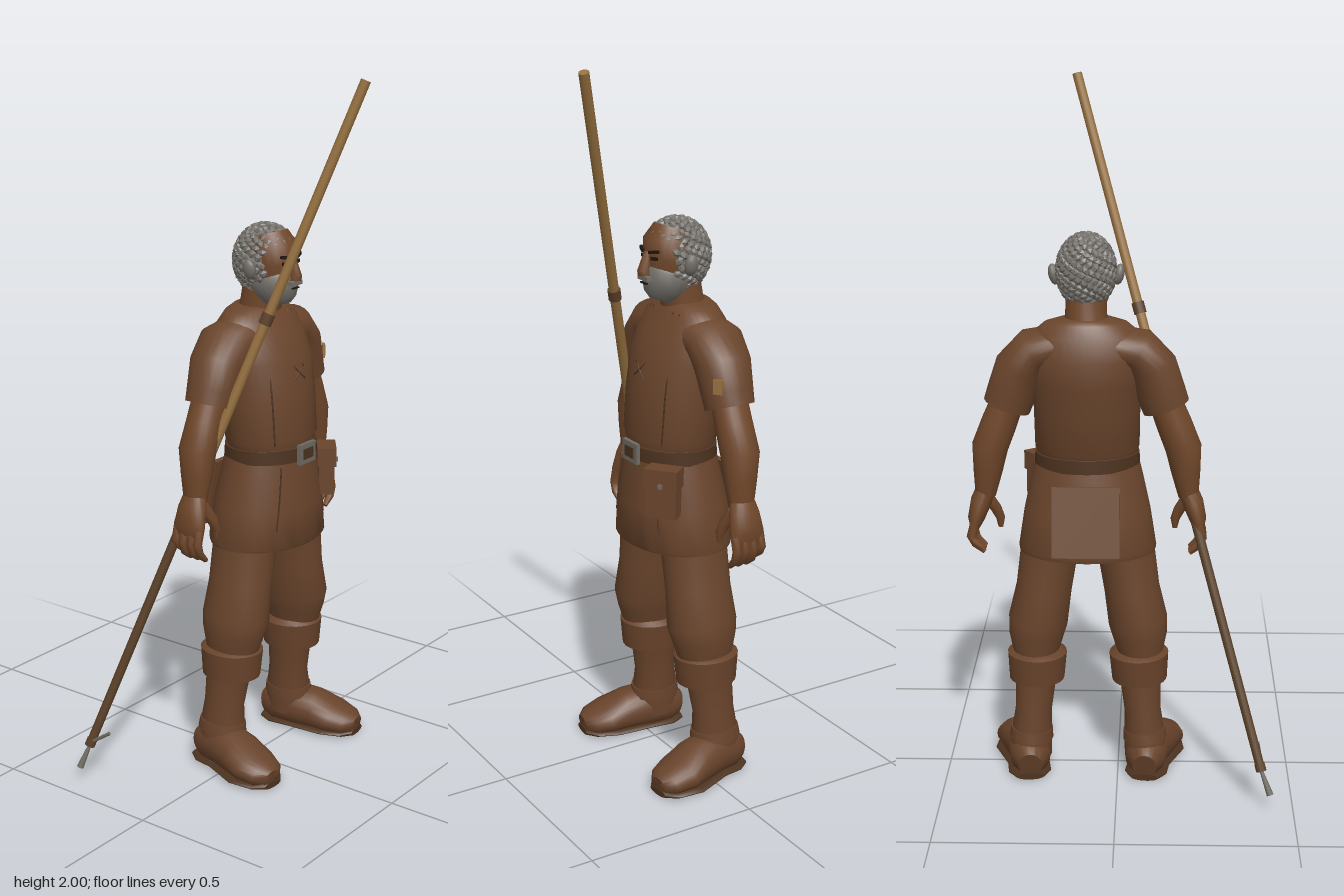
import * as THREE from 'three';
import { mergeGeometries, toCreasedNormals } from 'three/addons/utils/BufferGeometryUtils.js';

const mat = (name, color) => Object.assign(new THREE.MeshStandardMaterial({ color }), { name });
const V = (x, y, z) => new THREE.Vector3(x, y, z);

// Skin of elliptical rings [x, y, z, radiusU, radiusV] set square to their path
function loft(rings, { s = 1, seg = 24, crease = 0.9, floor = -1 } = {}) {
  const c = rings.map(r => V(r[0] * s, r[1], r[2]));
  const pos = [], idx = [], n = rings.length;
  c.forEach((p, i) => {
    const t = c[Math.min(i + 1, n - 1)].clone().sub(c[Math.max(i - 1, 0)]).normalize();
    const ref = Math.abs(t.z) > 0.9 ? V(1, 0, 0) : V(0, 0, 1);
    const u = ref.cross(t).normalize(), v = t.clone().cross(u);
    for (let j = 0; j < seg; j++) {
      const a = j / seg * Math.PI * 2;
      const q = p.clone().addScaledVector(u, Math.cos(a) * rings[i][3]).addScaledVector(v, Math.sin(a) * rings[i][4]);
      pos.push(q.x, Math.max(q.y, floor), q.z);
    }
  });
  pos.push(...c[0].toArray(), ...c[n - 1].toArray());
  for (let j = 0; j < seg; j++) {
    const k = (j + 1) % seg, e = (n - 1) * seg;
    for (let i = 0; i < n - 1; i++) {
      const a = i * seg + j, b = i * seg + k;
      idx.push(a, b, a + seg, b, b + seg, a + seg);
    }
    idx.push(n * seg, k, j, n * seg + 1, e + j, e + k);
  }
  const g = new THREE.BufferGeometry();
  g.setAttribute('position', new THREE.Float32BufferAttribute(pos, 3));
  g.setIndex(idx);
  return toCreasedNormals(g, crease);
}

// Front surface depth of an upright loft at (x, y)
function frontZ(rings, x, y) {
  const i = Math.max(1, rings.findIndex(r => r[1] >= y));
  const a = rings[i - 1], b = rings[i], t = (y - a[1]) / (b[1] - a[1]);
  const [cz, rx, rz] = [2, 3, 4].map(k => a[k] + (b[k] - a[k]) * t);
  return cz + rz * Math.sqrt(Math.max(0, 1 - (x / rx) ** 2));
}

export function createModel() {
  const cloth = mat('brown cloth', 0x6a452c), skin = mat('skin', 0x70472a), dark = mat('dark leather', 0x4c321f);
  const leather = mat('boot leather', 0x68432b), hair = mat('grey hair', 0x75716b), metal = mat('dull metal', 0x6f6b62);
  const wood = mat('light wood', 0x96703f), oldWood = mat('dark wood', 0x5c4229), ink = mat('eye black', 0x1e1713);

  const model = new THREE.Group(), man = new THREE.Group();
  man.name = 'man';
  man.position.x = 0.087;
  model.add(man);
  const add = (name, geo, m, parent = man) => {
    const mesh = new THREE.Mesh(geo, m);
    mesh.name = name;
    parent.add(mesh);
    return mesh;
  };
  const box = (name, m, size, at, rot = [0, 0, 0]) => {
    const b = add(name, new THREE.BoxGeometry(...size), m);
    b.position.set(...at);
    b.rotation.set(...rot);
    return b;
  };
  // Stitched line lying on the front of a loft
  const seam = (name, rings, pts, r = 0.0025) => add(name, new THREE.TubeGeometry(
    new THREE.CatmullRomCurve3(pts.map(([x, y]) => V(x, y, frontZ(rings, x, y)))), 16, r, 5), dark);

  // Vest and tunic skirt
  const torso = [
    [0, 0.965, 0.005, 0.14, 0.113], [0, 0.985, 0.005, 0.148, 0.12], [0, 1.1, -0.005, 0.15, 0.12],
    [0, 1.2, -0.025, 0.163, 0.125], [0, 1.27, -0.042, 0.168, 0.108], [0, 1.32, -0.046, 0.15, 0.088],
    [0, 1.35, -0.046, 0.115, 0.072], [0, 1.362, -0.046, 0.07, 0.062]];
  const skirt = [
    [0, 0.68, -0.007, 0.195, 0.146], [0, 0.69, -0.007, 0.197, 0.15], [0, 0.8, -0.003, 0.18, 0.142],
    [0, 0.9, 0.003, 0.158, 0.125], [0, 0.975, 0.005, 0.14, 0.114]];
  add('vest', loft(torso, { seg: 36 }), cloth);
  add('tunicSkirt', loft(skirt, { seg: 36 }), cloth);
  add('belt', loft([[0, 0.93, 0.005, 0.15, 0.123], [0, 0.968, 0.005, 0.148, 0.122]], { seg: 36 }), dark);
  box('backPanel', cloth, [0.19, 0.2, 0.014], [0, 0.8, -0.146], [0.2, 0, 0]);
  for (const s of [-1, 1]) {
    seam('vestSeam', torso, [[0.1 * s, 0.985], [0.1 * s, 1.15], [0.095 * s, 1.25], [0.07 * s, 1.34]]);
    seam('neckSeam', torso, [[0, 1.2], [0.02 * s, 1.26], [0.05 * s, 1.34]]);
    seam('skirtSeam', skirt, [[0.085 * s, 0.92], [0.1 * s, 0.83], [0.115 * s, 0.74]]);
    for (const y of [1.18, 1.215]) seam('lace', torso, [[-0.025 * s, y - 0.02], [0, y], [0.025 * s, y + 0.025]], 0.003);
  }

  // Buckle and pouch
  box('buckle', metal, [0.075, 0.058, 0.012], [0.0, 0.95, 0.13]);
  box('buckleCentre', dark, [0.045, 0.03, 0.006], [0, 0.95, 0.136]);
  box('pouch', cloth, [0.085, 0.115, 0.045], [0.133, 0.855, 0.107], [0, 0.65, 0]);
  box('pouchFlap', cloth, [0.095, 0.055, 0.055], [0.133, 0.91, 0.107], [0, 0.65, 0]);
  box('pouchStud', metal, [0.012, 0.012, 0.008], [0.152, 0.892, 0.131], [0, 0.65, 0]);
  box('sleeveBadge', wood, [0.026, 0.04, 0.008], [0.25, 1.18, 0.012], [0, 0.7, 0]);

  for (const s of [-1, 1]) {
    // Sleeves and arms
    add('sleeve', loft([[0.08, 1.285, -0.045, 0.055, 0.08], [0.145, 1.27, -0.045, 0.064, 0.085],
      [0.185, 1.22, -0.045, 0.07, 0.08], [0.208, 1.15, -0.045, 0.069, 0.072],
      [0.222, 1.11, -0.045, 0.067, 0.068]], { s }), cloth);
    add('arm', loft([[0.21, 1.15, -0.045, 0.045, 0.05], [0.245, 1.06, -0.045, 0.05, 0.052],
      [0.272, 0.99, -0.047, 0.051, 0.054], [0.279, 0.92, -0.045, 0.041, 0.046],
      [0.287, 0.85, -0.044, 0.029, 0.035]], { s }), skin);
    add('palm', loft([[0.285, 0.87, -0.044, 0.027, 0.034], [0.3, 0.83, -0.044, 0.03, 0.045],
      [0.315, 0.78, -0.044, 0.024, 0.052], [0.318, 0.755, -0.044, 0.014, 0.048]], { s }), skin);
    for (let i = 0; i < 4; i++) {
      const z = -0.083 + i * 0.026, d = i === 0 ? 0.015 : 0;
      add('finger', loft([[0.316, 0.775, z, 0.013, 0.013], [0.327, 0.735, z, 0.013, 0.013],
        [0.318, 0.705 + d, z, 0.012, 0.012], [0.292, 0.682 + d, z, 0.007, 0.008]], { s, seg: 10 }), skin);
    }
    add('thumb', loft([[0.285, 0.835, -0.02, 0.018, 0.018], [0.262, 0.795, -0.005, 0.016, 0.015],
      [0.25, 0.765, 0, 0.013, 0.013], [0.25, 0.738, 0, 0.007, 0.007]], { s, seg: 10 }), skin);

    // Trousers and boots
    add('trouserLeg', loft([[0.085, 0.82, -0.005, 0.085, 0.1], [0.108, 0.69, -0.006, 0.083, 0.096],
      [0.127, 0.56, -0.01, 0.08, 0.096], [0.145, 0.46, -0.012, 0.086, 0.103],
      [0.15, 0.42, -0.016, 0.08, 0.095], [0.153, 0.34, -0.022, 0.06, 0.075]], { s }), cloth);
    add('bootCuff', loft([[0.15, 0.28, -0.025, 0.066, 0.07], [0.15, 0.285, -0.025, 0.08, 0.087],
      [0.148, 0.365, -0.024, 0.086, 0.094], [0.148, 0.375, -0.024, 0.07, 0.078]], { s, crease: 0.6 }), leather);
    add('bootShaft', loft([[0.168, 0.05, -0.048, 0.06, 0.07], [0.166, 0.11, -0.046, 0.06, 0.07],
      [0.16, 0.19, -0.043, 0.053, 0.061], [0.152, 0.3, -0.032, 0.06, 0.068]], { s }), leather);
    add('ankleStrap', loft([[0.167, 0.105, -0.046, 0.064, 0.075], [0.165, 0.135, -0.045, 0.061, 0.071]], { s }), leather);
    add('bootFoot', loft([[0.166, 0.045, -0.125, 0.04, 0.035], [0.168, 0.055, -0.09, 0.06, 0.058],
      [0.175, 0.06, -0.03, 0.07, 0.062], [0.192, 0.055, 0.04, 0.063, 0.07], [0.207, 0.043, 0.1, 0.046, 0.076],
      [0.214, 0.034, 0.15, 0.036, 0.06], [0.217, 0.03, 0.174, 0.024, 0.032]], { s, floor: 0.014 }), leather);
    add('bootSole', loft([[0.166, 0.01, -0.127, 0.01, 0.04], [0.17, 0.01, -0.09, 0.012, 0.062],
      [0.178, 0.01, -0.03, 0.012, 0.062], [0.205, 0.01, 0.08, 0.012, 0.08],
      [0.214, 0.01, 0.15, 0.012, 0.062], [0.217, 0.01, 0.176, 0.01, 0.034]], { s, floor: 0 }), dark);
  }

  // Neck and head
  add('neck', loft([[0, 1.32, -0.04, 0.063, 0.062], [0, 1.37, -0.03, 0.058, 0.06], [0, 1.43, -0.02, 0.056, 0.06]]), skin);
  add('face', loft([[0, 1.375, 0.03, 0.03, 0.035], [0, 1.4, 0.02, 0.053, 0.058], [0, 1.44, 0.005, 0.066, 0.074],
    [0, 1.48, 0, 0.073, 0.08], [0, 1.53, -0.002, 0.074, 0.082], [0, 1.565, -0.01, 0.055, 0.06]]), skin);
  add('beard', loft([[0, 1.365, 0.035, 0.026, 0.034], [0, 1.38, 0.03, 0.045, 0.054], [0, 1.405, 0.022, 0.061, 0.065],
    [0, 1.437, 0.012, 0.069, 0.074], [0, 1.447, 0.008, 0.064, 0.07]]), hair);
  add('nose', loft([[0, 1.442, 0.085, 0.017, 0.02], [0, 1.452, 0.085, 0.016, 0.023],
    [0, 1.505, 0.075, 0.009, 0.012]], { seg: 10 }), skin);
  box('moustache', hair, [0.05, 0.012, 0.016], [0, 1.434, 0.086]);
  box('mouth', ink, [0.03, 0.004, 0.006], [0, 1.42, 0.088]);
  for (const s of [-1, 1]) {
    box('eye', ink, [0.02, 0.009, 0.008], [0.029 * s, 1.49, 0.073], [0, 0.35 * s, 0]);
    box('eyebrow', ink, [0.032, 0.008, 0.009], [0.03 * s, 1.508, 0.076], [0, 0.35 * s, 0.15 * s]);
    const ear = add('ear', new THREE.SphereGeometry(1, 12, 8), hair);
    ear.scale.set(0.015, 0.03, 0.02);
    ear.position.set(0.09 * s, 1.475, -0.005);
    ear.rotation.z = -0.2 * s;
  }

  // Hair: a cap drawn back from the face, covered with flat curls
  const centre = V(0, 1.487, -0.013), radii = V(0.078, 0.1, 0.094);
  const onFace = p => p.z > 0.028 && p.y < 1.535;
  const cap = new THREE.SphereGeometry(1, 32, 24), cp = cap.attributes.position;
  for (let i = 0; i < cp.count; i++) {
    const p = V().fromBufferAttribute(cp, i).multiply(radii).add(centre);
    if (onFace(p)) p.z = 0.02;
    cp.setXYZ(i, p.x, Math.max(p.y, 1.4), p.z);
  }
  cap.computeVertexNormals();
  add('hairCap', cap, hair);
  const curls = [], dummy = new THREE.Object3D(), count = 300;
  for (let i = 0; i < count; i++) {
    const y = 1 - 2 * (i + 0.5) / count, r = Math.sqrt(1 - y * y), a = i * 2.39996;
    const d = V(r * Math.cos(a), y, r * Math.sin(a)), p = d.clone().multiply(radii).add(centre);
    if (onFace(p) || p.y < 1.405 || (p.y < 1.44 && p.z > -0.01)) continue;
    dummy.position.copy(p);
    dummy.lookAt(p.clone().add(d));
    dummy.rotateZ(i * 1.7);
    dummy.scale.set(0.015, 0.011, 0.01);
    dummy.updateMatrix();
    curls.push(new THREE.IcosahedronGeometry(1, 0).applyMatrix4(dummy.matrix));
  }
  add('hairCurls', mergeGeometries(curls), hair);

  // Long pole crossing behind the right arm
  const top = V(0.122, 1.995, 0.285), foot = V(-0.41, 0.11, -0.275);
  const at = y => foot.clone().lerp(top, (y - foot.y) / (top.y - foot.y));
  const rod = (name, a, b, ra, rb, m) => {
    const mesh = add(name, new THREE.CylinderGeometry(rb, ra, a.distanceTo(b), 14), m, model);
    mesh.position.copy(a).lerp(b, 0.5);
    mesh.quaternion.setFromUnitVectors(V(0, 1, 0), b.clone().sub(a).normalize());
  };
  rod('poleLower', foot, at(0.95), 0.013, 0.014, oldWood);
  rod('poleUpper', at(0.95), top, 0.014, 0.014, wood);
  rod('poleCollar', at(1.345), at(1.375), 0.018, 0.018, oldWood);
  rod('poleFerrule', at(0.11), at(0.13), 0.015, 0.015, oldWood);
  rod('poleSpike', V(-0.435, 0.045, -0.292), foot, 0.01, 0.005, metal);
  rod('poleHook', V(-0.412, 0.118, -0.275), V(-0.402, 0.165, -0.205), 0.005, 0.005, metal);
  return model;
}
